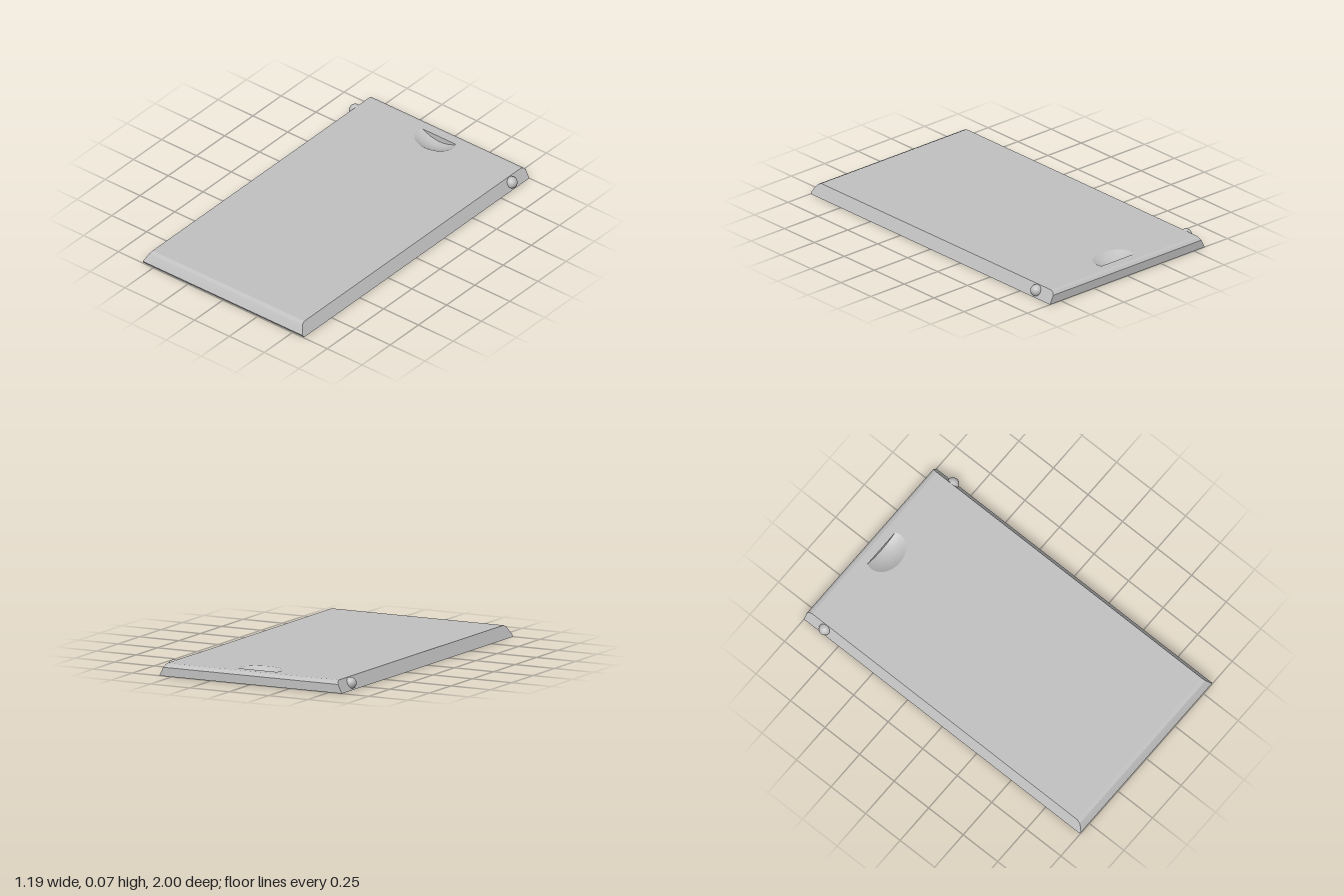
import * as THREE from 'three';
import { toCreasedNormals } from 'three/addons/utils/BufferGeometryUtils.js';

const H = 0.07;               // plate thickness
const BACK = -0.97, FRONT = 0.95; // ends of the flat top
const halfWidth = (y) => 0.58 - 0.035 * (y / H);

// Collects flat polygons (corners counter-clockwise from outside) into one geometry
function polygons(list) {
  const pos = [];
  for (const p of list)
    for (let i = 1; i < p.length - 1; i++) pos.push(...p[0], ...p[i], ...p[i + 1]);
  const g = new THREE.BufferGeometry();
  g.setAttribute('position', new THREE.Float32BufferAttribute(pos, 3));
  g.computeVertexNormals();
  return g;
}

const toPath = (pts, sign) => new THREE.Path(pts.map(([x, z]) => new THREE.Vector2(x, sign * z)));

// Flat rectangle in x and z with holes, facing up (1) or down (-1)
function sheet(w, z0, z1, holes, y, facing) {
  const sign = -facing;
  const s = new THREE.Shape(
    [[-w, z0], [w, z0], [w, z1], [-w, z1]].map(([x, z]) => new THREE.Vector2(x, sign * z)));
  s.holes = holes.map((h) => toPath(h, sign));
  return new THREE.ShapeGeometry(s).rotateX(sign * Math.PI / 2).translate(0, y, 0);
}

// Honeycomb of six-sided pockets, cut off at the edges of a rectangle
function pocketOutlines() {
  const pitch = 0.175, row = 0.147, r = 0.07, limX = pitch * 1.5, limZ = row * 5;
  const out = [];
  for (let k = -5; k <= 5; k++) {
    const n = k % 2 ? 4 : 3;
    for (let i = 0; i < n; i++) {
      const cx = (i - (n - 1) / 2) * pitch, cz = k * row, pts = [];
      for (let j = 0; j < 6; j++) {
        const a = Math.PI / 6 + j * Math.PI / 3;
        const x = THREE.MathUtils.clamp(cx + r * Math.cos(a), -limX, limX);
        const z = THREE.MathUtils.clamp(cz + r * Math.sin(a), -limZ, limZ);
        if (!pts.some((p) => Math.hypot(p[0] - x, p[1] - z) < 1e-4)) pts.push([x, z]);
      }
      out.push(pts);
    }
  }
  return out;
}

export function createModel() {
  const group = new THREE.Group();
  const grey = new THREE.MeshStandardMaterial({ color: 0xc0c0c0 });
  grey.name = 'grey';
  const add = (name, geo) => {
    const m = new THREE.Mesh(geo, grey);
    m.name = name;
    group.add(m);
    return m;
  };

  // Rim: bevelled front, rounded back and slanted sides, from a (z, y) profile
  const profile = [[0.994, 0], [1, 0.012], [0.985, 0.04], [0.972, 0.06], [FRONT, H],
    [BACK, H], [-0.988, 0.064], [-1, 0.05], [-1, 0]];
  const corner = (side, [z, y]) => [side * halfWidth(y), y, z];
  const rim = [
    profile.map((p) => corner(-1, p)),
    profile.map((p) => corner(1, p)).reverse(),
  ];
  for (let i = 0; i < profile.length - 1; i++) {
    if (i === 4) continue; // the flat top is its own part
    const a = profile[i], b = profile[i + 1];
    rim.push([corner(-1, a), corner(1, a), corner(1, b), corner(-1, b)]);
  }
  add('rim', toCreasedNormals(polygons(rim), 0.4));

  // Finger notch: half-oval dish, deepest at its straight back wall
  const N = 32, rings = 8, rx = 0.13, rz = 0.1, cz = -0.885, wallZ = -0.92, depth = 0.038;
  const start = Math.asin((wallZ - cz) / rz);
  const arc = [];
  for (let j = 0; j <= N; j++) {
    const a = start + (Math.PI - 2 * start) * j / N;
    arc.push([rx * Math.cos(a), cz + rz * Math.sin(a)]);
  }
  const dishPoint = (x, z) =>
    [x, H - depth * Math.max(0, 1 - (x / rx) ** 2 - ((z - cz) / rz) ** 2), z];
  const at = (j, t) => dishPoint(arc[j][0] * t, wallZ + (arc[j][1] - wallZ) * t);
  const dish = [], wall = [];
  for (let j = 0; j < N; j++)
    for (let k = 0; k < rings; k++) {
      const t = k / rings, u = (k + 1) / rings;
      dish.push(k ? [at(j, t), at(j + 1, t), at(j + 1, u), at(j, u)]
        : [at(j, 0), at(j + 1, u), at(j, u)]);
    }
  const w = arc[0][0];
  for (let i = 0; i < 20; i++) {
    const a = w * (i / 10 - 1), b = w * ((i + 1) / 10 - 1);
    wall.push([dishPoint(a, wallZ), dishPoint(b, wallZ), [b, H, wallZ], [a, H, wallZ]]);
  }
  // Ring quads past the first run the other way round
  for (const p of dish) if (p.length === 4) p.reverse();
  for (const p of dish) {
    const [a, b, c] = p;
    const ny = (b[2] - a[2]) * (c[0] - a[0]) - (b[0] - a[0]) * (c[2] - a[2]);
    if (ny < 0) p.reverse(); // keep every dish face upward
  }
  add('fingerNotch', toCreasedNormals(polygons(dish), 0.6));
  add('fingerNotchWall', polygons(wall));
  add('topFace', sheet(halfWidth(H), BACK, FRONT, [arc], H, 1));

  // Underside with honeycomb pockets
  const outlines = pocketOutlines(), deep = 0.045, pockets = [];
  for (const pts of outlines) {
    pts.forEach(([x, z], i) => {
      const [x2, z2] = pts[(i + 1) % pts.length];
      pockets.push([[x, 0, z], [x2, 0, z2], [x2, deep, z2], [x, deep, z]]);
    });
    pockets.push(pts.map(([x, z]) => [x, deep, z]));
  }
  add('honeycombPockets', polygons(pockets));
  add('underside', sheet(halfWidth(0), -1, 0.994, outlines, 0, -1));

  // Round pivots on both sides near the back
  for (const side of [-1, 1])
    add(side > 0 ? 'leftPivot' : 'rightPivot', new THREE.SphereGeometry(0.034, 32, 20))
      .position.set(side * 0.561, 0.037, -0.865);

  return group;
}
